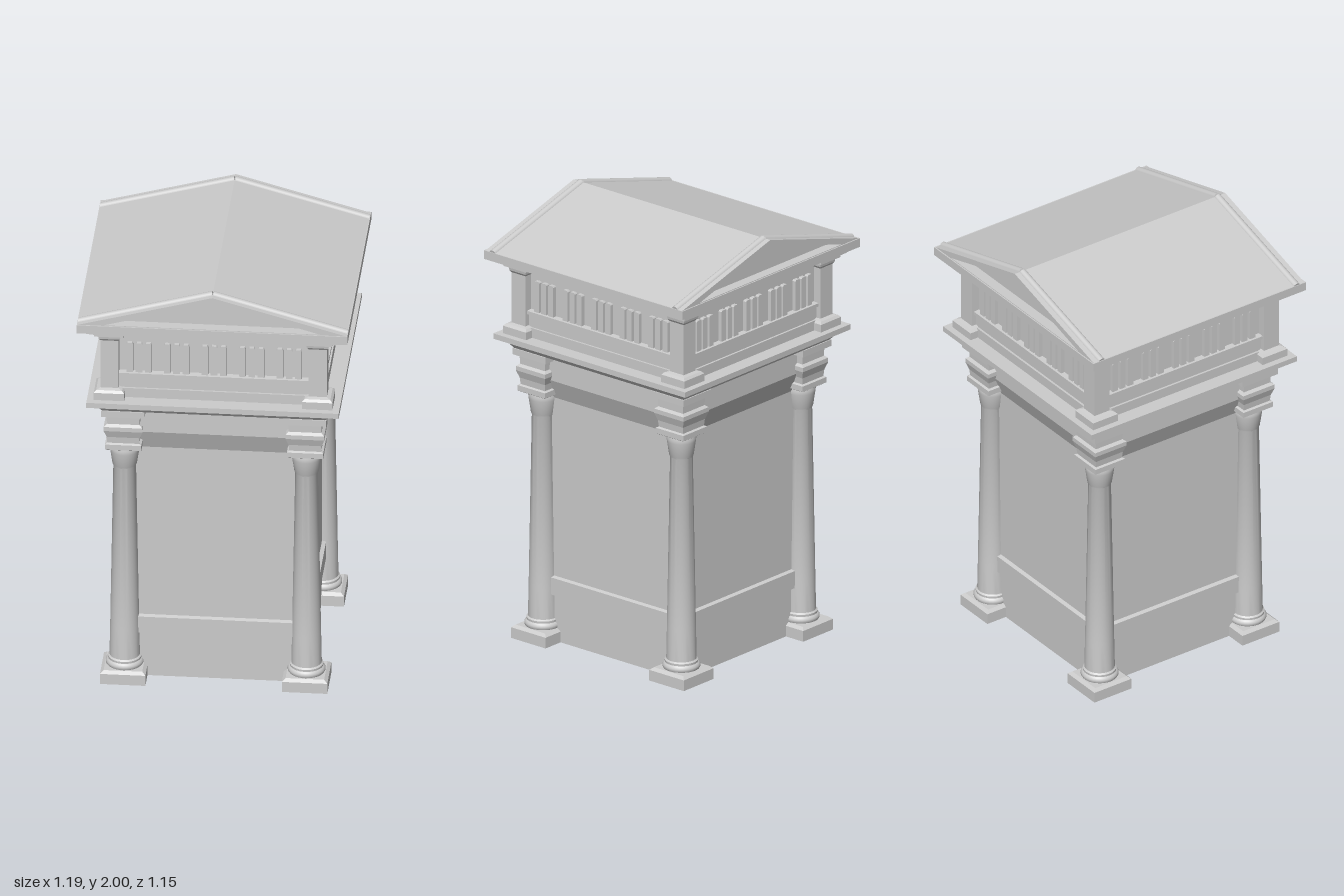
import * as THREE from 'three';
import { toCreasedNormals } from 'three/addons/utils/BufferGeometryUtils.js';

const stone = new THREE.MeshStandardMaterial({ color: 0xcccccc, side: THREE.DoubleSide });
const flatStone = new THREE.MeshStandardMaterial({ color: 0xcccccc, side: THREE.DoubleSide, flatShading: true });

export function createModel() {
  const model = new THREE.Group();
  model.name = 'pavilion';

  const add = (parent, name, geometry, x = 0, y = 0, z = 0, material = flatStone) => {
    const mesh = new THREE.Mesh(geometry, material);
    mesh.name = name;
    mesh.position.set(x, y, z);
    parent.add(mesh);
    return mesh;
  };
  const group = (name, parent = model) => {
    const g = new THREE.Group();
    g.name = name;
    parent.add(g);
    return g;
  };
  const vectors = (profile) => profile.map(([r, y]) => new THREE.Vector2(r, y));
  // Square moulding from a profile of [half width, height]
  const square = (profile) =>
    new THREE.LatheGeometry(vectors(profile.map(([h, y]) => [h * Math.SQRT2, y])), 4).rotateY(Math.PI / 4);
  const round = (profile) => toCreasedNormals(new THREE.LatheGeometry(vectors(profile), 32), 0.6);

  // Hollow cella, open below, with a flared beam at its top
  add(model, 'cellaWalls', square([
    [0.4, 0], [0.4, 1.14], [0.44, 1.235], [0.44, 1.36],
  ]));
  add(model, 'wallBand', square([[0.4, 0.215], [0.418, 0.22], [0.418, 0.3], [0.4, 0.305]]));

  // Cornice above the columns
  add(model, 'lowerCornice', square([
    [0.43, 1.36], [0.49, 1.36], [0.525, 1.405], [0.555, 1.405], [0.555, 1.43], [0, 1.43],
  ]));

  // Four columns and the attic piers above them
  const plinthShape = square([
    [0, 0.045], [0.065, 0.045], [0.065, 0], [0.1, 0], [0.1, 0.05], [0.085, 0.062], [0, 0.062],
  ]);
  const shaftShape = round([
    [0.078, 0.06], [0.083, 0.068], [0.083, 0.078], [0.078, 0.086], [0.073, 0.09], [0.074, 0.1],
    [0.067, 0.106], [0.064, 0.25], [0.05, 1.05], [0.054, 1.058], [0.064, 1.125], [0.066, 1.14], [0.06, 1.16],
  ]);
  const capitalShape = square([
    [0, 1.155], [0.072, 1.155], [0.08, 1.16], [0.08, 1.185], [0.07, 1.19], [0.073, 1.22],
    [0.085, 1.255], [0.085, 1.275], [0.072, 1.285], [0.073, 1.32], [0.084, 1.328],
    [0.095, 1.33], [0.095, 1.36], [0, 1.36],
  ]);
  const pierShape = square([
    [0.067, 1.43], [0.067, 1.465], [0.057, 1.475], [0.04, 1.48], [0.04, 1.715], [0.047, 1.725],
    [0.05, 1.742], [0.065, 1.745], [0.065, 1.762], [0.085, 1.765], [0.085, 1.787],
  ]);
  for (const sx of [-1, 1]) {
    for (const sz of [-1, 1]) {
      const column = group('column');
      column.position.set(0.4 * sx, 0, 0.4 * sz);
      add(column, 'plinth', plinthShape);
      add(column, 'shaft', shaftShape, 0, 0, 0, stone);
      add(column, 'capital', capitalShape);
      add(model, 'atticPier', pierShape, 0.458 * sx, 0, 0.458 * sz);
    }
  }

  // Attic core with stepped mouldings
  add(model, 'atticWall', square([
    [0.485, 1.43], [0.485, 1.475], [0.475, 1.475], [0.475, 1.53], [0.487, 1.535],
    [0.487, 1.55], [0.46, 1.553], [0.46, 1.735], [0.475, 1.74], [0.475, 1.79],
  ]));

  // Frieze bars and dentils, the same on all four sides
  const barShape = new THREE.Shape();
  barShape.moveTo(-0.0145, 0);
  barShape.lineTo(0.0145, 0);
  barShape.lineTo(0.0145, 0.138);
  barShape.lineTo(0.01, 0.144);
  barShape.lineTo(-0.01, 0.144);
  barShape.lineTo(-0.0145, 0.138);
  barShape.closePath();
  const bar = new THREE.ExtrudeGeometry(barShape, { depth: 0.02, bevelEnabled: false });
  const dentil = new THREE.BoxGeometry(0.028, 0.036, 0.04);
  for (let side = 0; side < 4; side++) {
    const frieze = group('frieze');
    frieze.rotation.y = (side * Math.PI) / 2;
    for (let i = -2; i <= 2; i++) {
      for (let j = -1; j <= 1; j++) {
        add(frieze, 'triglyphBar', bar, i * 0.165 + j * 0.041, 1.552, 0.458);
      }
    }
    for (let i = -7; i <= 7; i++) add(frieze, 'dentil', dentil, i * 0.05, 1.769, 0.49);
  }

  // Eaves slab and gabled roof
  add(model, 'eaves', new THREE.BoxGeometry(1.19, 0.04, 1.15), 0, 1.806, 0);
  const eaveX = 0.59, eaveY = 1.826, ridgeY = 1.988;
  const triangle = (Type, halfWidth, base, apex) => new Type(vectors([[-halfWidth, base], [halfWidth, base], [0, apex]]));
  const gable = triangle(THREE.Shape, eaveX, eaveY, ridgeY);
  add(model, 'roof', new THREE.ExtrudeGeometry(gable, { depth: 1.04, bevelEnabled: false }), 0, 0, -0.52);

  // Raking cornices frame recessed gable panels; a roll runs along each slope
  const frame = triangle(THREE.Shape, eaveX, eaveY, ridgeY);
  frame.holes.push(triangle(THREE.Path, 0.475, eaveY + 0.003, 1.963));
  const frameShape = new THREE.ExtrudeGeometry(frame, { depth: 0.05, bevelEnabled: false });
  const slope = Math.atan2(ridgeY - eaveY, eaveX);
  const rollShape = new THREE.CylinderGeometry(0.0175, 0.0175, Math.hypot(eaveX, ridgeY - eaveY), 16).rotateZ(Math.PI / 2);
  for (const sz of [-1, 1]) {
    add(model, 'rakingCornice', frameShape, 0, 0, sz > 0 ? 0.519 : -0.569);
    for (const sx of [-1, 1]) {
      const roll = add(model, 'gableRoll', rollShape, sx * eaveX / 2, (eaveY + ridgeY) / 2 - 0.006, sz * 0.5275, stone);
      roll.rotation.z = -sx * slope;
    }
  }
  return model;
}
